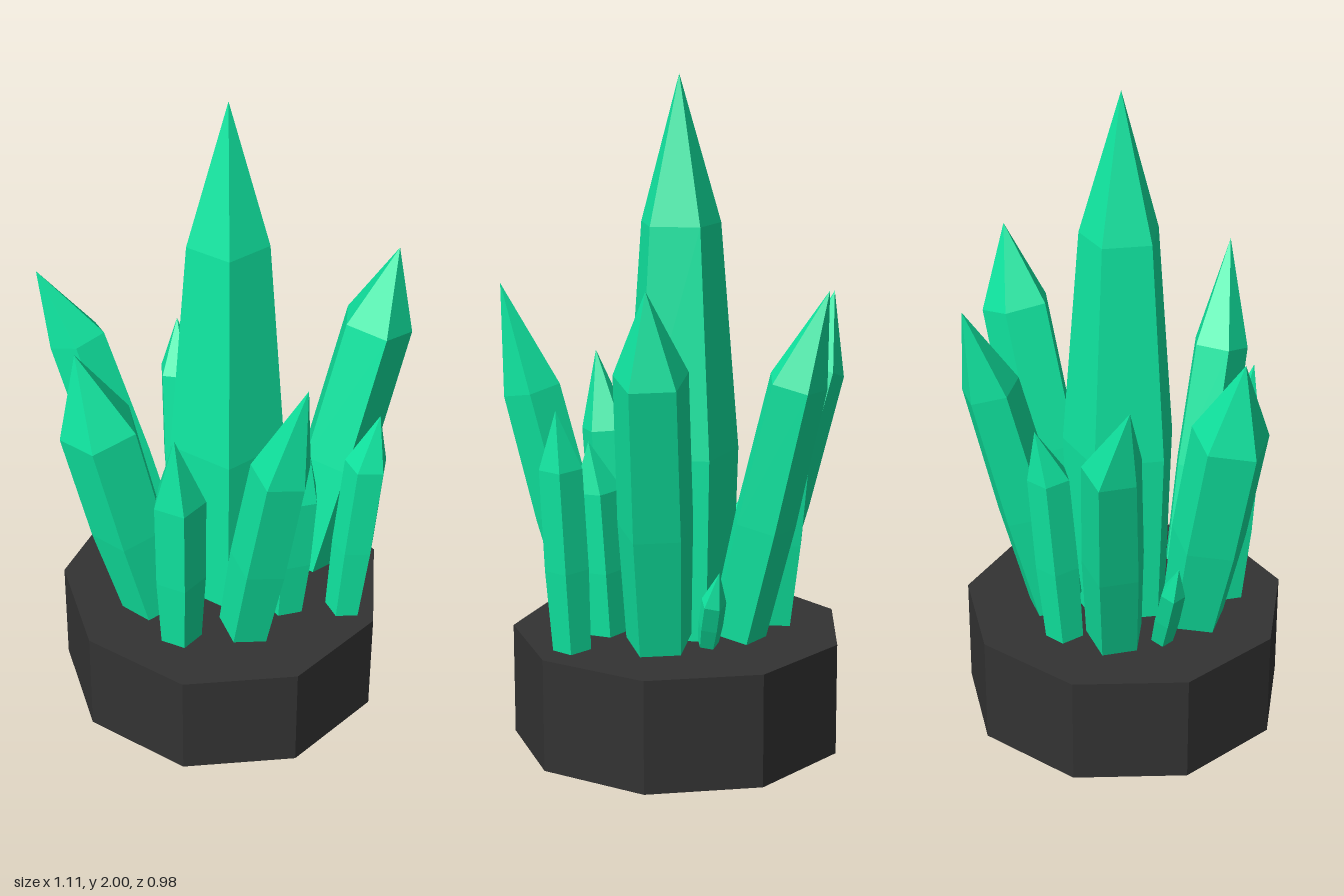
import * as THREE from 'three';

const SIDES = 5;
const crystalMaterial = new THREE.MeshStandardMaterial({ color: 0x10e8a2, flatShading: true });
const stoneMaterial = new THREE.MeshStandardMaterial({ color: 0x333333, flatShading: true });

// Faceted crystal: stacked rings square to the axis foot -> shoulder, closed by a free tip.
// rings: [fraction of the axis, radius]; phase: angle of the first corner in degrees.
function crystal(name, foot, shoulder, tip, rings, phase) {
  const a = new THREE.Vector3(...foot);
  const b = new THREE.Vector3(...shoulder);
  const apex = new THREE.Vector3(...tip);
  const axis = b.clone().sub(a).normalize();
  const tilt = new THREE.Quaternion().setFromUnitVectors(new THREE.Vector3(0, 1, 0), axis);
  const loops = rings.map(([t, r]) => Array.from({ length: SIDES }, (_, i) => {
    const angle = THREE.MathUtils.degToRad(phase) + (i / SIDES) * Math.PI * 2;
    return new THREE.Vector3(Math.cos(angle) * r, 0, Math.sin(angle) * r)
      .applyQuaternion(tilt).add(a.clone().lerp(b, t));
  }));

  const points = [];
  const last = loops.length - 1;
  for (let i = 0; i < SIDES; i++) {
    const j = (i + 1) % SIDES;
    points.push(a, loops[0][i], loops[0][j]);
    for (let k = 0; k < last; k++) {
      const low = loops[k], high = loops[k + 1];
      points.push(low[i], high[i], low[j], low[j], high[i], high[j]);
    }
    points.push(loops[last][i], apex, loops[last][j]);
  }
  const geometry = new THREE.BufferGeometry().setFromPoints(points);
  geometry.computeVertexNormals();
  const mesh = new THREE.Mesh(geometry, crystalMaterial);
  mesh.name = name;
  return mesh;
}

// name, foot, shoulder, tip, foot radius, shoulder radius, phase
const SHARDS = [
  ['leftLargeCrystal', [-0.2, 0.37, 0.02], [-0.455, 1.08, 0.05], [-0.555, 1.31, 0.11], 0.09, 0.09, -90],
  ['frontLargeCrystal', [-0.05, 0.37, 0.24], [-0.15, 1.04, 0.35], [-0.2, 1.3, 0.39], 0.1, 0.12, -80],
  ['rightLargeCrystal', [0.26, 0.38, 0.19], [0.415, 1.07, 0.26], [0.505, 1.39, 0.28], 0.085, 0.09, -60],
  ['backRightLargeCrystal', [0.23, 0.38, -0.19], [0.345, 1.2, -0.365], [0.385, 1.45, -0.41], 0.1, 0.11, -100],
  ['backLeftLargeCrystal', [-0.03, 0.37, -0.19], [-0.125, 1.14, -0.36], [-0.195, 1.41, -0.42], 0.09, 0.09, -80],
  ['frontSmallCrystal', [0.105, 0.36, 0.32], [0.125, 0.9, 0.35], [0.14, 1.14, 0.39], 0.065, 0.08, -100],
  ['rightOuterCrystal', [0.45, 0.36, -0.065], [0.49, 0.91, -0.09], [0.515, 1.08, -0.11], 0.058, 0.065, -60],
  ['rightInnerCrystal', [0.29, 0.36, 0.025], [0.32, 0.8, 0.025], [0.355, 0.95, 0.01], 0.065, 0.075, -70],
  ['backLeftSmallCrystal', [-0.195, 0.36, -0.135], [-0.235, 0.92, -0.17], [-0.265, 1.08, -0.205], 0.06, 0.065, -110],
  ['frontLeftTinyCrystal', [-0.185, 0.36, 0.16], [-0.262, 0.57, 0.2], [-0.29, 0.67, 0.22], 0.035, 0.038, -120],
  ['backTinyCrystal', [0.085, 0.36, -0.22], [0.1, 0.5, -0.28], [0.1, 0.6, -0.315], 0.033, 0.038, -90],
];

export function createModel() {
  const model = new THREE.Group();

  // Nine-sided stone plinth with a corner toward the back
  const base = new THREE.Mesh(
    new THREE.CylinderGeometry(0.503, 0.503, 0.34, 9).rotateY(Math.PI), stoneMaterial);
  base.position.set(0.055, 0.17, 0.013);
  base.name = 'stoneBase';
  model.add(base);

  // Tall upright crystal in the middle
  model.add(crystal('centralCrystal', [0.057, 0.34, 0], [0.057, 1.57, 0], [0.057, 2, 0],
    [[0, 0.16], [0.45, 0.178], [1, 0.124]], -90));

  // Ring of shards leaning outward, slightly swollen at mid length
  for (const [name, foot, shoulder, tip, r0, r1, phase] of SHARDS) {
    model.add(crystal(name, foot, shoulder, tip,
      [[0, r0], [0.45, (r0 + r1) * 0.54], [1, r1]], phase));
  }
  return model;
}
